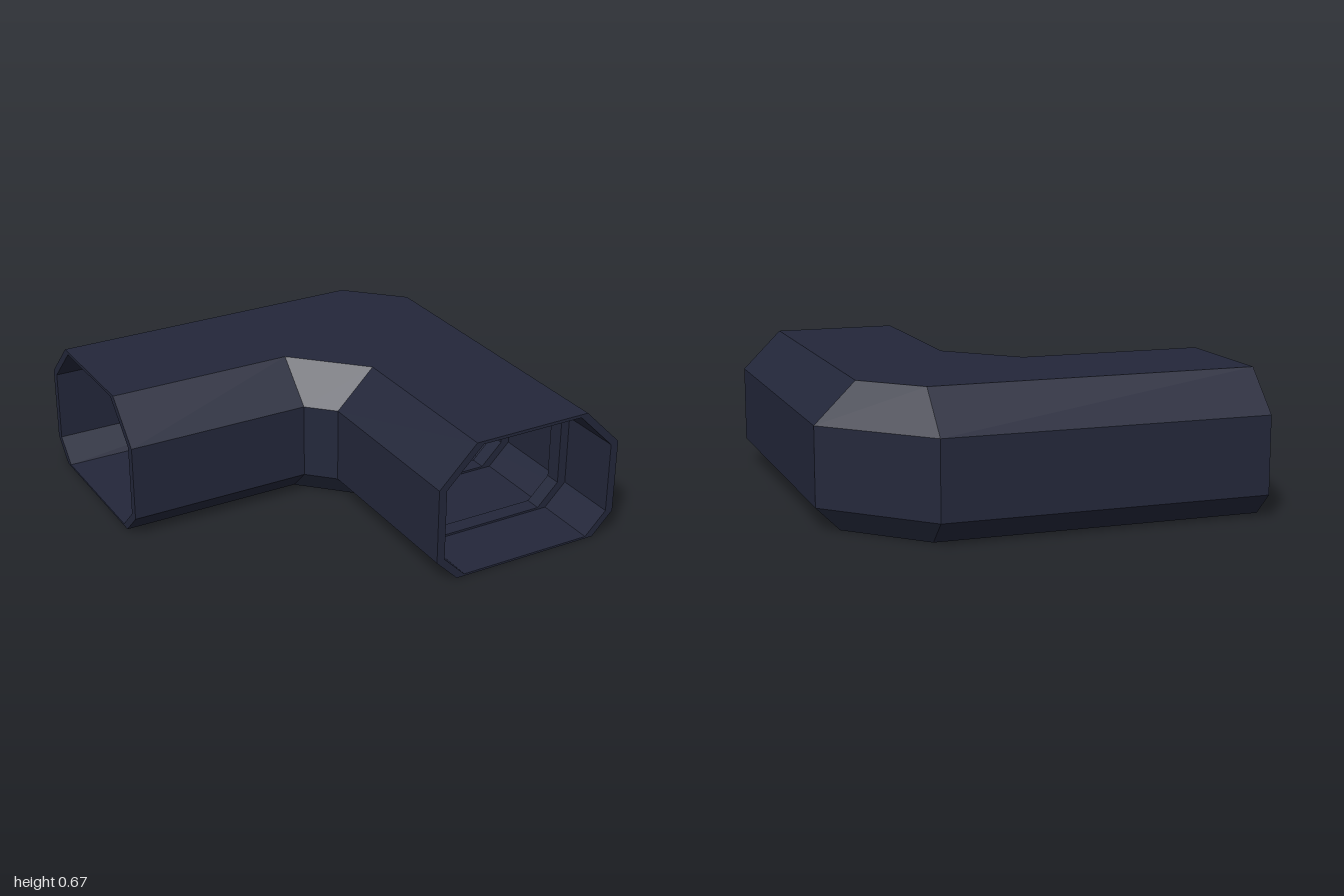
import * as THREE from 'three';

const WIDTH = 0.98; // corridor width, measured from the outer wall inwards

// Eight-sided section as [distance from outer wall, height] pairs
function section(side, bottom, top, lowCut, highCut) {
  const half = [
    [side, bottom + lowCut],
    [side, top - highCut],
    [side + highCut, top],
  ];
  const foot = [side + lowCut, bottom];
  const mirror = ([d, y]) => [WIDTH - d, y];
  return [...half, ...half.slice().reverse().map(mirror), mirror(foot), foot];
}

const OUTER = section(0, 0, 0.67, 0.11, 0.19);
const INNER = section(0.04, 0.01, 0.655, 0.11, 0.185);
const RIB = section(0.085, 0.02, 0.64, 0.11, 0.17);

// Stations place a section along the bent path
const armLeft = (x) => ([d, y]) => [x, y, d - 1];
const armFront = (z) => ([d, y]) => [1 - d, y, z];
const bendStart = ([d, y]) => [d < WIDTH / 2 ? 0.56 : -0.1, y, d - 1];
const bendEnd = ([d, y]) => [1 - d, y, d < WIDTH / 2 ? -0.56 : 0.1];

// Skin consecutive rings of points with flat quads
function loft(rings) {
  const positions = [];
  for (let i = 0; i < rings.length - 1; i++) {
    const r = rings[i], s = rings[i + 1], n = r.length;
    for (let j = 0; j < n; j++) {
      const k = (j + 1) % n;
      positions.push(...r[j], ...r[k], ...s[j], ...r[k], ...s[k], ...s[j]);
    }
  }
  const geometry = new THREE.BufferGeometry();
  geometry.setAttribute('position', new THREE.Float32BufferAttribute(positions, 3));
  geometry.computeVertexNormals();
  return geometry;
}

export function createModel() {
  const group = new THREE.Group();
  group.name = 'cornerCorridor';
  const material = new THREE.MeshStandardMaterial({
    color: 0x23273a, flatShading: true, side: THREE.DoubleSide,
  });
  const add = (name, rings) => {
    const mesh = new THREE.Mesh(loft(rings), material);
    mesh.name = name;
    group.add(mesh);
  };

  // Outer hull and inner lining follow the same bent path
  const path = [armLeft(-1), bendStart, bendEnd, armFront(1)];
  add('outerHull', path.map((place) => OUTER.map(place)));
  add('innerLining', path.slice().reverse().map((place) => INNER.map(place)));

  // Flat rims close the wall thickness at both openings
  add('leftRim', [INNER.map(path[0]), OUTER.map(path[0])]);
  add('frontRim', [OUTER.map(path[3]), INNER.map(path[3])]);

  // Raised frames inside each arm
  const addRib = (name, start, end) => add(name, [
    INNER.map(end), RIB.map(end), RIB.map(start), INNER.map(start),
  ]);
  [0.12, 0.6].forEach((s, i) => {
    addRib(`leftArmRib${i + 1}`, armLeft(-s - 0.08), armLeft(-s));
    addRib(`frontArmRib${i + 1}`, armFront(s), armFront(s + 0.08));
  });

  return group;
}
